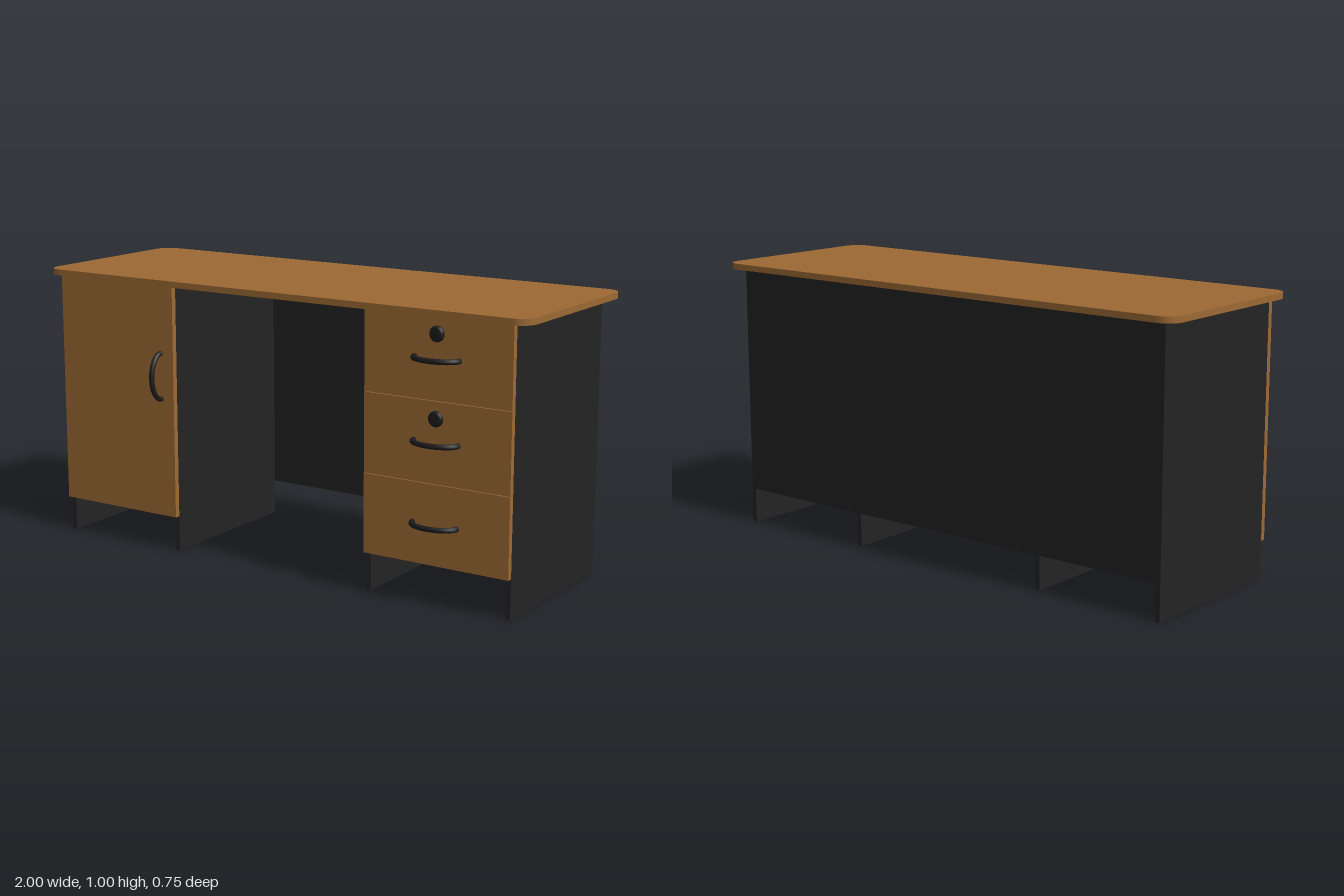
import * as THREE from 'three';

export function createModel() {
  const desk = new THREE.Group();
  desk.name = 'desk';

  const mat = (name, color) => {
    const m = new THREE.MeshStandardMaterial({ color });
    m.name = name;
    return m;
  };
  const wood = mat('brown wood', 0x9c6934);
  const board = mat('black board', 0x232323);
  const metal = mat('dark metal', 0x1c1c1c);

  const add = (name, geometry, material) => {
    const mesh = new THREE.Mesh(geometry, material);
    mesh.name = name;
    desk.add(mesh);
    return mesh;
  };
  // Box given by its limits on each axis
  const box = (name, material, [x0, x1], [y0, y1], [z0, z1]) =>
    add(name, new THREE.BoxGeometry(x1 - x0, y1 - y0, z1 - z0), material)
      .position.set((x0 + x1) / 2, (y0 + y1) / 2, (z0 + z1) / 2);

  // Table top with rounded corners
  const w = 1, z0 = -0.375, z1 = 0.332, r = 0.06;
  const outline = new THREE.Shape();
  outline.absarc(w - r, -z0 - r, r, 0, Math.PI / 2);
  outline.absarc(-w + r, -z0 - r, r, Math.PI / 2, Math.PI);
  outline.absarc(-w + r, -z1 + r, r, Math.PI, Math.PI * 1.5);
  outline.absarc(w - r, -z1 + r, r, Math.PI * 1.5, Math.PI * 2);
  const top = new THREE.ExtrudeGeometry(outline, { depth: 0.022, bevelEnabled: false, curveSegments: 10 });
  top.rotateX(-Math.PI / 2).translate(0, 0.983, 0);
  add('tableTop', top, wood);

  // Upright side panels, which also form the feet
  const topY = 0.983, t = 0.017, front = 0.293, back = -0.33;
  box('outerSideRight', board, [-0.945, -0.945 + t], [0, topY], [back, front]);
  box('innerSideRight', board, [-0.427 - t, -0.427], [0, topY], [back + t, front]);
  box('innerSideLeft', board, [0.385, 0.385 + t], [0, topY], [back + t, front]);
  box('outerSideLeft', board, [0.941 - t, 0.941], [0, topY], [back, front]);

  // Back panel and cabinet floors
  box('backPanel', board, [-0.945 + t, 0.941 - t], [0.13, topY], [back, back + t]);
  box('doorCabinetFloor', board, [-0.945 + t, -0.427 - t], [0.132, 0.149], [back + t, front]);
  box('drawerCabinetFloor', wood, [0.385 + t, 0.941 - t], [0.137, 0.15], [back + t, front]);

  // Door and drawer fronts
  const face = 0.313;
  box('door', wood, [-0.945, -0.427], [0.13, topY], [front, face]);
  const edges = [0.14, 0.422, 0.703, topY];
  for (let i = 0; i < 3; i++) {
    box('drawerFront' + (i + 1), wood, [0.385, 0.941], [edges[i], edges[i + 1] - 0.002], [front, face]);
  }

  // Bow handles: half an ellipse standing out from the front
  const points = [];
  for (let i = 0; i <= 16; i++) {
    const a = (Math.PI * i) / 16;
    points.push(new THREE.Vector3(0.084 * Math.cos(a), 0, 0.053 * Math.sin(a)));
  }
  const bow = new THREE.TubeGeometry(new THREE.CatmullRomCurve3(points), 32, 0.0095, 10);
  const handle = (name, x, y) => {
    const mesh = add(name, bow, metal);
    mesh.position.set(x, y, face);
    return mesh;
  };
  const drawerX = 0.663;
  [0.282, 0.563, 0.844].forEach((y, i) => handle('drawerHandle' + (i + 1), drawerX, y));
  handle('doorHandle', -0.483, 0.652).rotation.z = Math.PI / 2;

  // Round locks with softened rims on the two upper drawers
  const profile = [[0.027, 0], [0.027, 0.006], [0.024, 0.011], [0.019, 0.013], [0, 0.013]]
    .map(([x, y]) => new THREE.Vector2(x, y));
  const lock = new THREE.LatheGeometry(profile, 24).rotateX(Math.PI / 2);
  [0.643, 0.925].forEach((y, i) =>
    add('drawerLock' + (i + 2), lock, metal).position.set(drawerX, y, face));

  return desk;
}
